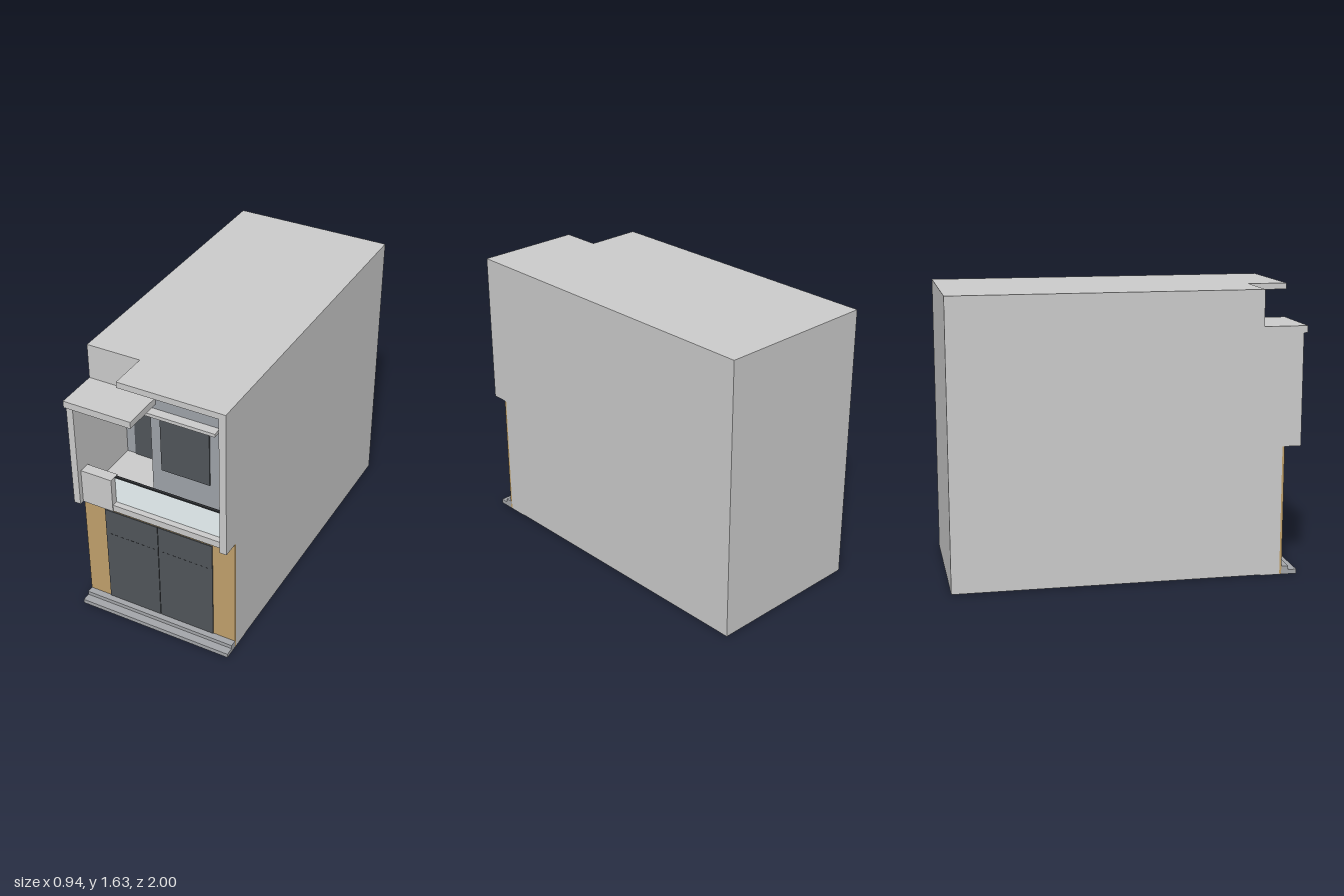
import * as THREE from 'three';

export function createModel() {
  const house = new THREE.Group();
  house.name = 'terraceHouse';

  const material = (color) => new THREE.MeshStandardMaterial({ color });
  const grey = material(0xcccccc);
  const wall = material(0x9ea2a8);
  const dark = material(0x50555a);
  const black = material(0x2a2c2f);
  const wood = material(0xc0a06b);
  const glass = material(0xeaf4f6);
  const stone = material(0xa4a6aa);

  // Box given by its lower and upper limits on each axis
  function box(name, [x0, x1], [y0, y1], [z0, z1], mat = grey, parent = house) {
    const mesh = new THREE.Mesh(new THREE.BoxGeometry(x1 - x0, y1 - y0, z1 - z0), mat);
    mesh.position.set((x0 + x1) / 2, (y0 + y1) / 2, (z0 + z1) / 2);
    mesh.name = name;
    parent.add(mesh);
    return mesh;
  }

  const W = 0.47, H = 1.635, IN = 0.43;

  // Main volume, stepped around the balcony recess
  box('rearBody', [-W, W], [0.004, H], [-1, 0.48]);
  box('lowerBody', [-W, W], [0.004, 0.75], [0.48, 0.87]);
  box('upperLeftBlock', [-W, -0.105], [1.39, H], [0.48, 0.75]);
  box('middleBlock', [-0.105, IN], [0.79, 1.6], [0.48, 0.745], wall);
  box('roofSlab', [-0.105, W], [1.6, H], [0.48, 0.978]);
  box('roofSlabEnd', [-0.15, -0.105], [1.6, H], [0.75, 0.978]);
  box('rightFin', [IN, W], [0.75, 1.6], [0.48, 0.978]);
  box('leftFin', [-W, -IN], [0.75, 1.39], [0.48, 0.978]);
  box('balconyFloor', [-IN, IN], [0.75, 0.79], [0.48, 0.945]);
  box('canopy', [-W, -0.065], [1.39, 1.43], [0.75, 1]);

  // Deep recess on the left with its glazed door and ceiling lamp
  box('recessWall', [-IN, -0.105], [0.79, 1.385], [0.48, 0.485], wall);
  box('recessDoor', [-0.375, -0.15], [0.79, 1.325], [0.485, 0.49], dark);
  const lamp = new THREE.Mesh(new THREE.CylinderGeometry(0.02, 0.02, 0.008, 20), black);
  lamp.position.set(-0.265, 1.386, 0.85);
  lamp.name = 'ceilingLamp';
  house.add(lamp);

  // Middle window with a small sunshade
  box('window', [-0.045, 0.25], [0.968, 1.325], [0.745, 0.752], dark);
  box('sunshade', [-0.15, 0.31], [1.335, 1.355], [0.745, 0.8]);

  // Tall dark panel with a louvre above
  box('tallPanel', [0.31, IN], [0.79, 1.535], [0.745, 0.755], dark);
  const louvre = new THREE.Group();
  louvre.name = 'louvre';
  house.add(louvre);
  box('louvreFrame', [0.315, 0.425], [1.537, 1.6], [0.745, 0.752], grey, louvre);
  for (let i = 0; i < 3; i++) {
    const y = 1.545 + i * 0.018;
    box('louvreGap', [0.321, 0.419], [y, y + 0.009], [0.752, 0.754], black, louvre);
  }

  // Balcony front: solid parapet, glass panel and rail
  box('parapet', [-IN, -0.24], [0.75, 0.96], [0.885, 0.95]);
  box('glassPanel', [-0.24, IN], [0.79, 0.953], [0.9, 0.91], glass);
  box('handrail', [-0.24, IN], [0.953, 0.961], [0.897, 0.913], black);

  // Ground floor: timber cladding and double door
  box('cladding', [-W, W], [0.004, 0.75], [0.87, 0.883], wood);
  box('doorGap', [-0.003, 0.003], [0.055, 0.685], [0.883, 0.885], black);
  for (const side of [-1, 1]) {
    const leaf = new THREE.Group();
    leaf.name = side < 0 ? 'rightDoorLeaf' : 'leftDoorLeaf';
    house.add(leaf);
    const a = side * 0.003, b = side * 0.335;
    box('doorPanel', [Math.min(a, b), Math.max(a, b)], [0.05, 0.685], [0.883, 0.889], dark, leaf);
    for (let i = 0; i < 9; i++) {
      const x = side * (0.03 + i * 0.034);
      box('doorSlot', [x - 0.008, x + 0.008], [0.52, 0.524], [0.889, 0.89], black, leaf);
    }
  }

  // Entrance steps
  box('lowerStep', [-W, W], [0, 0.025], [0.76, 0.972], stone);
  box('upperStep', [-W, W], [0.025, 0.048], [0.865, 0.923], stone);

  return house;
}
